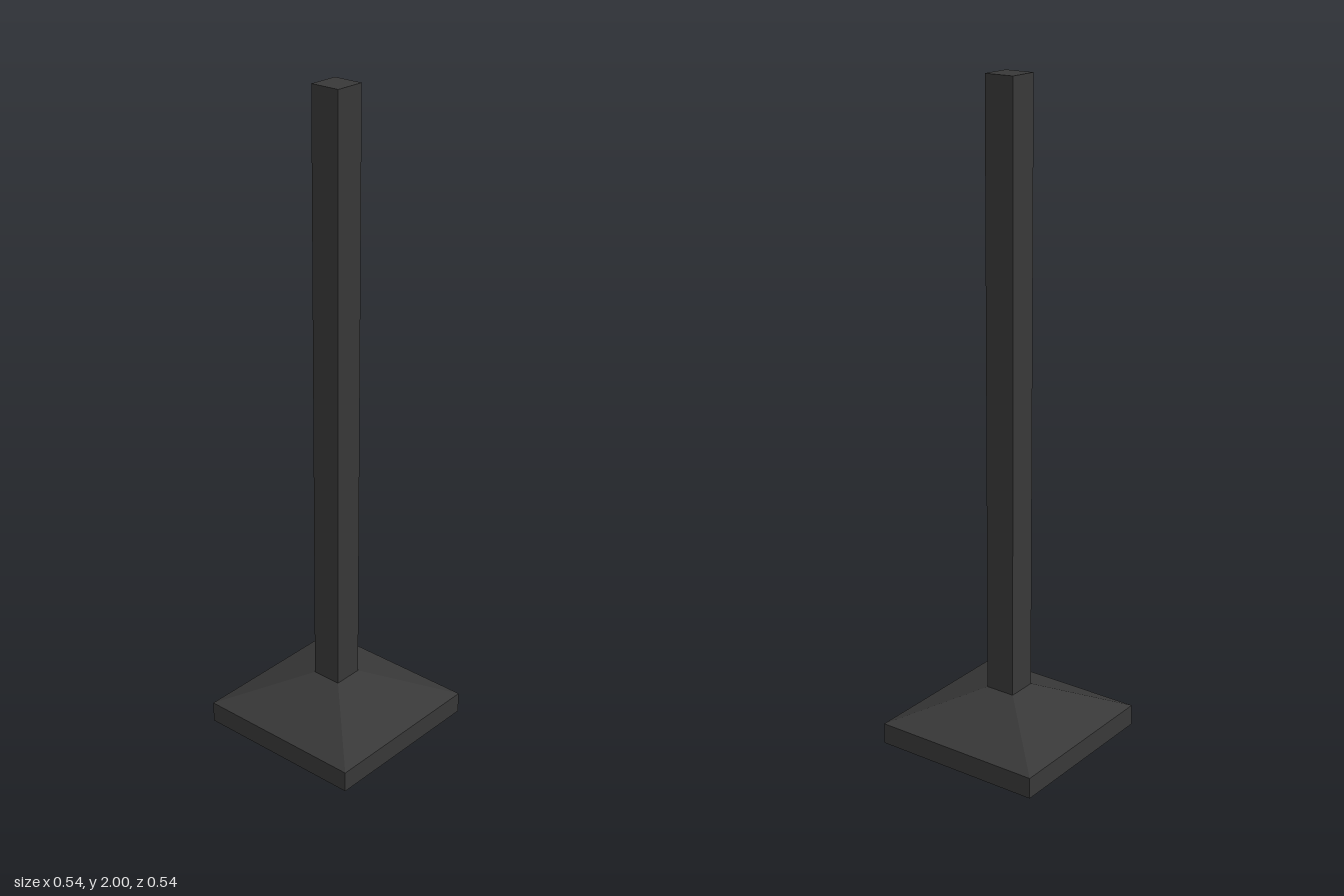
import * as THREE from 'three';

export function createModel() {
  const group = new THREE.Group();
  group.name = 'squarePost';
  const material = new THREE.MeshStandardMaterial({ color: 0x383838, flatShading: true });

  const baseHalf = 0.27, postHalf = 0.047;
  const plinthTop = 0.065, taperTop = 0.165, top = 2;

  // Square section running from y0 to y1, with half widths at each end
  function addSection(name, halfBottom, halfTop, y0, y1, open = false) {
    const geometry = new THREE.CylinderGeometry(
      halfTop * Math.SQRT2, halfBottom * Math.SQRT2, y1 - y0, 4, 1, open);
    geometry.rotateY(Math.PI / 4);
    geometry.translate(0, (y0 + y1) / 2, 0);
    const mesh = new THREE.Mesh(geometry, material);
    mesh.name = name;
    group.add(mesh);
  }

  // Flat square foot, sloping collar and upright
  addSection('basePlinth', baseHalf, baseHalf, 0, plinthTop);
  addSection('baseTaper', baseHalf, postHalf, plinthTop, taperTop, true);
  addSection('post', postHalf, postHalf, taperTop, top);

  return group;
}
